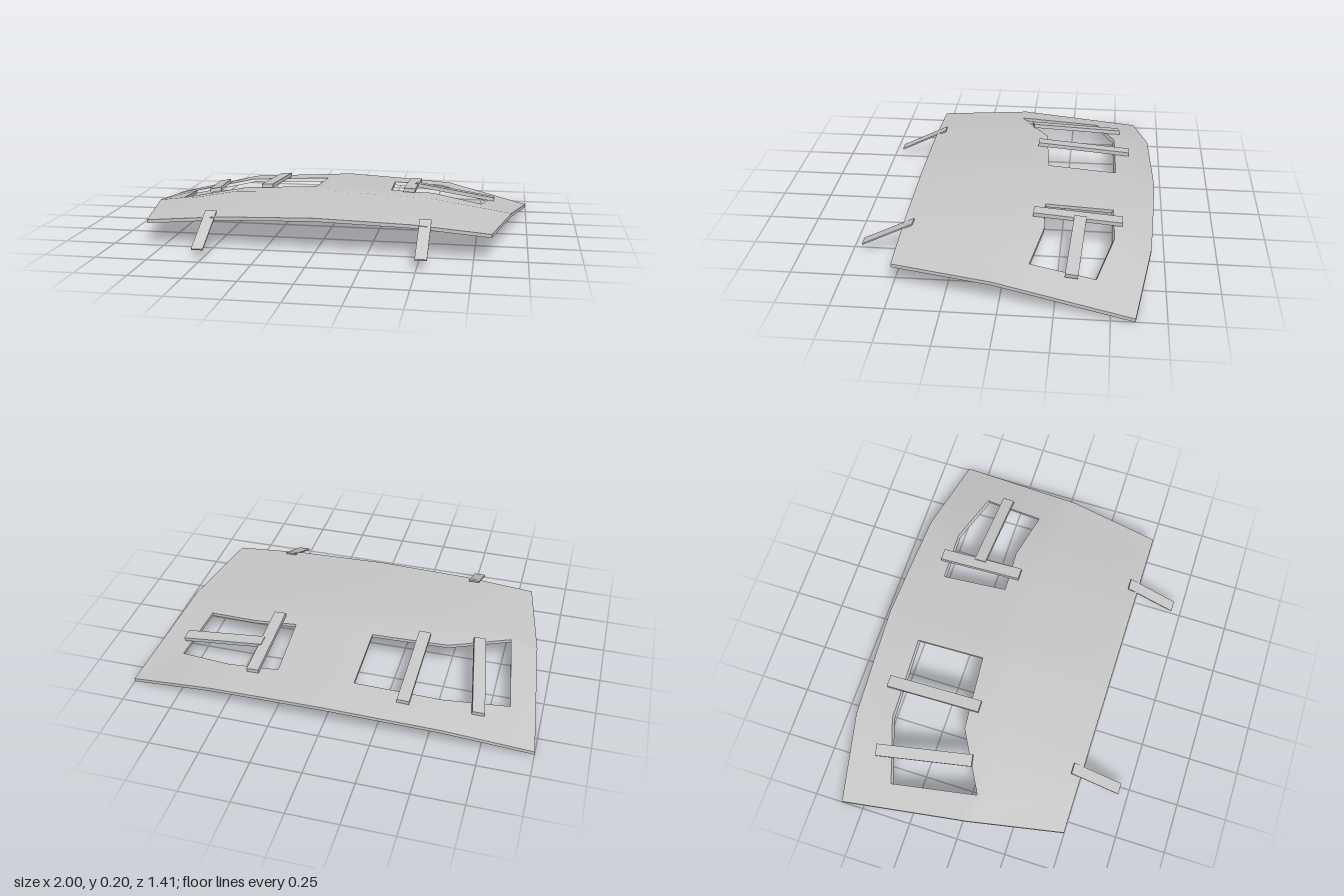
import * as THREE from 'three';

const T = 0.017; // panel thickness
const lerp = THREE.MathUtils.lerp;

// piecewise linear interpolation through [position, value] knots
function ramp(knots, p) {
  let i = 1;
  while (i < knots.length - 1 && p > knots[i][0]) i++;
  const [a, va] = knots[i - 1], [b, vb] = knots[i];
  return lerp(va, vb, (p - a) / (b - a));
}

const halfWidth = z => ramp([[-0.61, 1], [0.03, 0.92], [0.5, 0.83]], z);
const across = (u, mid, inner, edge) => ramp([[0, mid], [0.55, inner], [1, edge]], u);

// height of the domed top face: highest along a ridge, falling to back and sides
function height(x, z) {
  const u = Math.min(1, Math.abs(x) / halfWidth(Math.max(z, -0.61)));
  const ridge = across(u, 0.197, 0.177, 0.116);
  if (z > 0.03) return lerp(ridge, across(u, 0.168, 0.156, 0.126), (z - 0.03) / 0.47);
  const backZ = across(u, -0.705, -0.685, -0.61);
  return lerp(ridge, across(u, 0.14, 0.116, 0.017), (0.03 - z) / (0.03 - backZ));
}

function normalAt(x, z) {
  const e = 0.05;
  return new THREE.Vector3(
    height(x - e, z) - height(x + e, z), 2 * e, height(x, z - e) - height(x, z + e)).normalize();
}

// rows of the panel from back to front, each a list of [x, z]
const backRow = [-1, -0.87, -0.57, -0.11, 0, 0.28, 0.57, 0.82, 1]
  .map(x => [x, across(Math.abs(x), -0.705, -0.685, -0.61)]);
const frontRow = [-0.83, -0.7, -0.46, -0.11, 0, 0.28, 0.46, 0.68, 0.83].map(x => [x, 0.5]);
const rows = [
  backRow,
  [[-0.97, -0.37], [-0.85, -0.395], [-0.54, -0.495], [-0.11, -0.507], [0, -0.505], [0.275, -0.5], [0.53, -0.508], [0.805, -0.432], [0.972, -0.385]],
  [[-0.926, -0.02], [-0.785, 0.04], [-0.49, -0.125], [-0.11, -0.155], [0, -0.16], [0.29, -0.165], [0.51, -0.175], [0.765, -0.125], [0.936, -0.1]],
  [[-0.92, 0.03], [-0.77, 0.08], [-0.51, 0.03], [-0.11, 0.03], [0, 0.03], [0.29, 0.03], [0.51, 0.03], [0.75, 0.03], [0.92, 0.03]],
  frontRow,
];
const N = 9;
const isHole = (i, j) => j === 1 && [1, 2, 5, 6].includes(i);

function geometry(positions, index) {
  const g = new THREE.BufferGeometry();
  g.setAttribute('position', new THREE.Float32BufferAttribute(positions, 3));
  if (index) g.setIndex(index);
  g.computeVertexNormals();
  return g;
}

function buildPanel(material) {
  const top = [], bottom = [], faces = [], edges = new Map();
  rows.forEach((row, j) => row.forEach(([x, z], i) => {
    const y = height(x, z);
    const slant = j === 1 && i > 0 && i < N - 1 ? 0.01 : 0; // sloped back rim of the openings
    top.push([x, y, z]);
    bottom.push([x, y - T, z + slant]);
  }));
  for (let j = 0; j < rows.length - 1; j++) {
    for (let i = 0; i < N - 1; i++) {
      if (isHole(i, j)) continue;
      const a = j * N + i, b = a + 1, c = a + N, d = c + 1;
      faces.push(a, c, b, b, c, d);
      // an edge met twice is inside the panel; the rest are rims
      for (const [p, q] of [[a, c], [c, d], [d, b], [b, a]]) {
        if (!edges.delete(`${q},${p}`)) edges.set(`${p},${q}`, [p, q]);
      }
    }
  }
  const rim = [];
  for (const [p, q] of edges.values()) {
    rim.push(top[p], bottom[p], top[q], top[q], bottom[p], bottom[q]);
  }
  const panel = new THREE.Group();
  panel.name = 'panel';
  const add = (name, g) => {
    const m = new THREE.Mesh(g, material);
    m.name = name;
    panel.add(m);
  };
  add('panelTop', geometry(top.flat(), faces));
  add('panelUnderside', geometry(bottom.flat(), [...faces].reverse()));
  add('panelRims', geometry(rim.flat()));
  return panel;
}

// flat bar between two points, its broad face turned towards up
function bar(name, a, b, width, thick, up, material) {
  const m = new THREE.Mesh(new THREE.BoxGeometry(width, thick, a.distanceTo(b)), material);
  m.name = name;
  m.up.copy(up);
  m.position.copy(a).add(b).multiplyScalar(0.5);
  m.lookAt(b);
  return m;
}

export function createModel() {
  const grey = new THREE.MeshStandardMaterial({ color: 0xc8c8c8 });
  grey.name = 'plain grey';
  const model = new THREE.Group();
  model.name = 'boardedPanel';
  model.add(buildPanel(grey));

  // boards nailed over the openings: x, z of both ends and lift above the panel
  const boards = [
    ['rightOuterBoard', -0.715, -0.52, -0.635, -0.035, 0.013],
    ['rightInnerBoard', -0.365, -0.575, -0.365, -0.085, 0.013],
    ['leftInnerBoard', 0.39, -0.545, 0.39, -0.115, 0.013],
    ['leftCrossBoard', 0.405, -0.342, 0.828, -0.32, 0.018],
  ];
  for (const [name, x0, z0, x1, z1, lift] of boards) {
    const a = new THREE.Vector3(x0, height(x0, z0) + lift, z0);
    const b = new THREE.Vector3(x1, height(x1, z1) + lift, z1);
    model.add(bar(name, a, b, 0.06, 0.02, normalAt((x0 + x1) / 2, (z0 + z1) / 2), grey));
  }

  // thin straps sloping down from the front edge
  for (const side of [-1, 1]) {
    const x = side * 0.52;
    model.add(bar(side > 0 ? 'leftStrap' : 'rightStrap',
      new THREE.Vector3(x, 0.17, 0.45), new THREE.Vector3(x, 0.046, 0.7),
      0.056, 0.007, new THREE.Vector3(0, 1, 0), grey));
  }
  return model;
}
